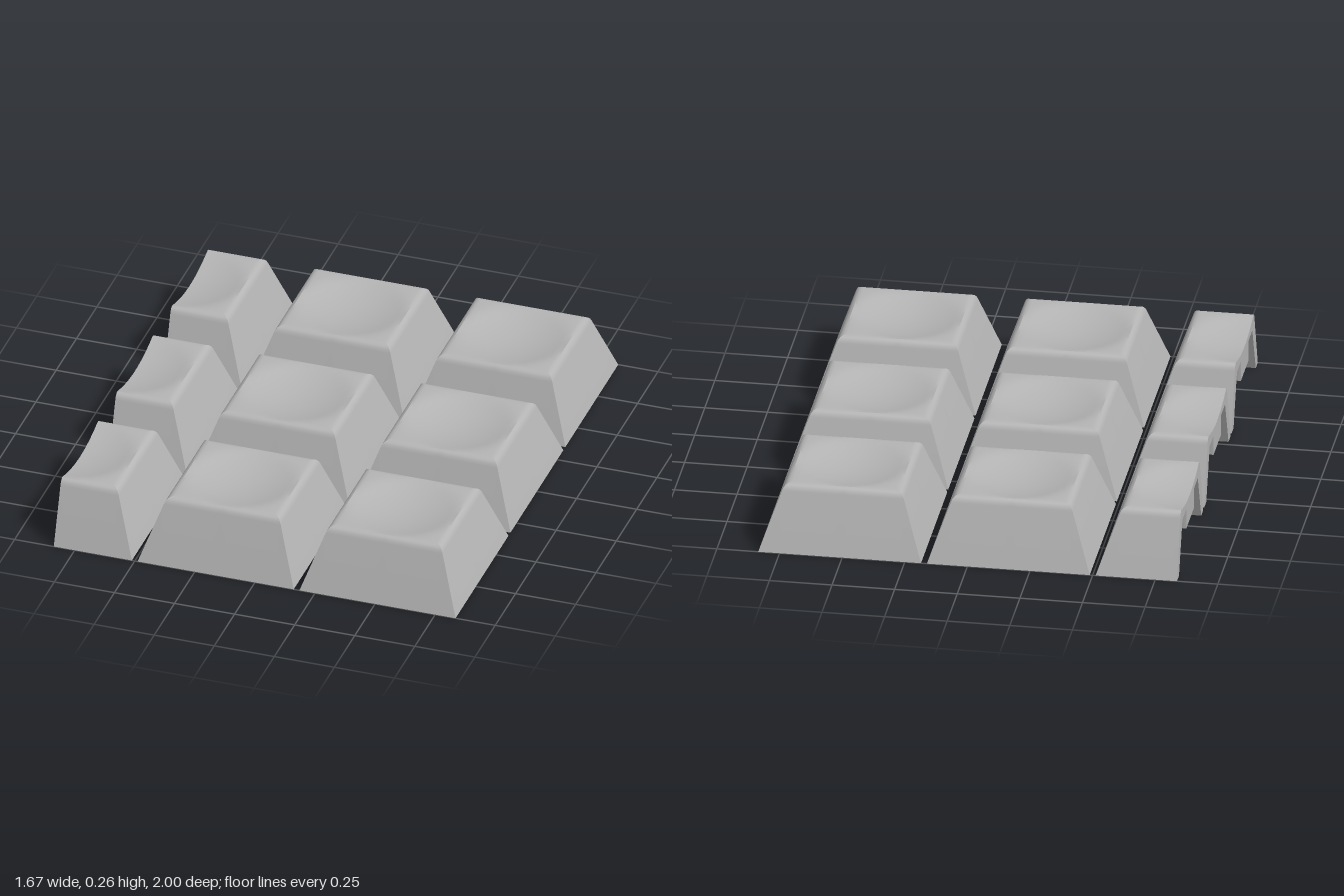
import * as THREE from 'three';
import { toCreasedNormals } from 'three/addons/utils/BufferGeometryUtils.js';

const PITCH = 0.6735, CENTER_X = 0.51;
const STEM_R = 0.095, STEM_BOTTOM = 0.12, ROOF = 0.205;

// Wall and roof profiles as [distance from the key centre, height], outside to inside
const OUTER = [[0.325, 0], [0.243, 0.235], [0.238, 0.247], [0.23, 0.256], [0.22, 0.261], [0.208, 0.262]];
const INNER = [[0.325, 0], [0.275, 0], [0.19, ROOF]];

function profileHeight(profile, r) {
  for (let i = 1; i < profile.length; i++) {
    const [r0, y0] = profile[i - 1], [r1, y1] = profile[i];
    if (r >= r1) return y0 + (y1 - y0) * (r0 - r) / (r0 - r1);
  }
  return profile[profile.length - 1][1];
}

// Sloped sides, rounded edge and a shallow round dish in the top
function outerHeight(x, z) {
  const dish = 0.035 * Math.max(0, 1 - (x * x + z * z) / (0.22 * 0.22));
  return profileHeight(OUTER, Math.max(Math.abs(x), Math.abs(z))) - dish;
}
const innerHeight = (x, z) => profileHeight(INNER, Math.max(Math.abs(x), Math.abs(z)));

// Grid lines: the profile distances on both sides plus even steps across the middle
function gridLines(profile, steps) {
  const edge = profile.map((p) => p[0]);
  const inner = edge[edge.length - 1];
  const lines = edge.map((r) => -r);
  for (let i = 1; i < steps; i++) lines.push(inner * (2 * i / steps - 1));
  return lines.concat(edge.slice().reverse());
}

// Surface over a grid, split along the hips; the half version keeps x >= 0
function surface(lines, height, half, flip) {
  const xs = half ? lines.filter((v) => v > -1e-6) : lines;
  const pos = [], index = [], n = lines.length;
  for (const x of xs) for (const z of lines) pos.push(x, height(x, z), z);
  for (let i = 0; i < xs.length - 1; i++) {
    for (let j = 0; j < n - 1; j++) {
      const a = i * n + j, b = a + n, c = b + 1, d = a + 1;
      const hip = (xs[i] + xs[i + 1]) * (lines[j] + lines[j + 1]) > 0;
      const tris = hip ? [a, d, c, a, c, b] : [a, d, b, b, d, c];
      index.push(...(flip ? tris.reverse() : tris));
    }
  }
  const geo = new THREE.BufferGeometry();
  geo.setAttribute('position', new THREE.Float32BufferAttribute(pos, 3));
  geo.setIndex(index);
  return toCreasedNormals(geo, 0.45);
}

// Flat face where a key is cut through its middle
function sectionGeometry(lines) {
  const pts = lines.map((z) => new THREE.Vector2(z, outerHeight(0, z)));
  const inside = [[0.275, 0], [0.19, ROOF], [STEM_R, ROOF], [STEM_R, STEM_BOTTOM]];
  for (const [z, y] of inside) pts.push(new THREE.Vector2(z, y));
  for (const [z, y] of inside.reverse()) pts.push(new THREE.Vector2(-z, y));
  return new THREE.ShapeGeometry(new THREE.Shape(pts)).rotateY(-Math.PI / 2);
}

export function createModel() {
  const model = new THREE.Group();
  model.name = 'keycaps';
  const grey = new THREE.MeshStandardMaterial({ color: 0xb4b4b4 });
  grey.name = 'plastic grey';

  const outerLines = gridLines(OUTER, 16), innerLines = gridLines(INNER, 2);
  const stemHeight = ROOF - STEM_BOTTOM;

  const buildParts = (half) => {
    const parts = {
      shell: surface(outerLines, outerHeight, half, false),
      cavity: surface(innerLines, innerHeight, half, true),
      stem: new THREE.CylinderGeometry(STEM_R, STEM_R, stemHeight, half ? 16 : 32, 1, false, 0, half ? Math.PI : Math.PI * 2)
        .translate(0, STEM_BOTTOM + stemHeight / 2, 0),
    };
    if (half) parts.cutFace = sectionGeometry(outerLines);
    return parts;
  };
  const full = buildParts(false), cut = buildParts(true);

  // Three rows of keys; the column at -x is cut in half
  for (let col = 0; col < 3; col++) {
    for (let row = -1; row <= 1; row++) {
      const key = new THREE.Group();
      key.name = col === 2 ? 'halfKey' : 'key';
      for (const [name, geo] of Object.entries(col === 2 ? cut : full)) {
        const mesh = new THREE.Mesh(geo, grey);
        mesh.name = name;
        key.add(mesh);
      }
      key.position.set(CENTER_X - col * PITCH, 0, row * 0.675);
      model.add(key);
    }
  }
  return model;
}
